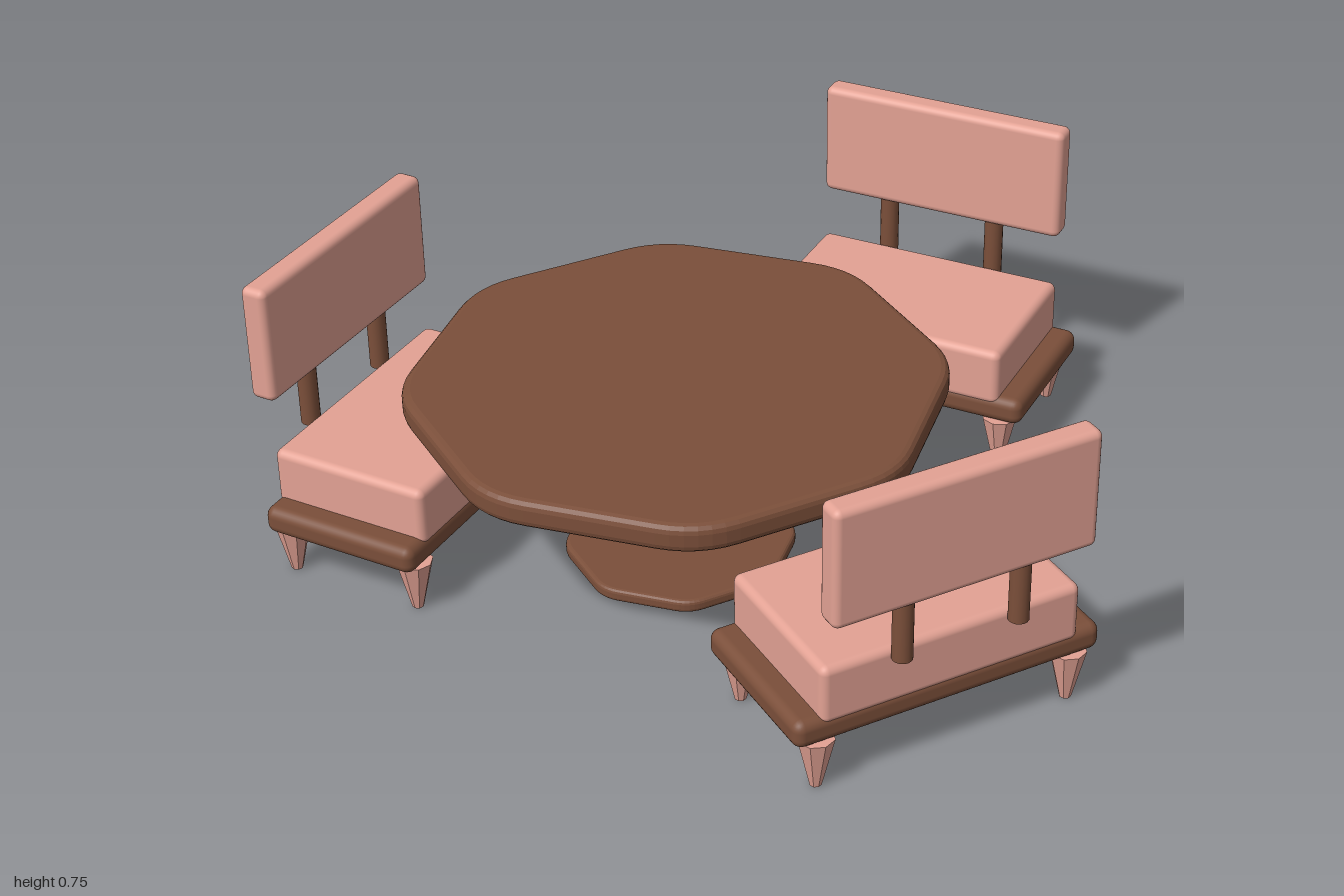
import * as THREE from 'three';
import { RoundedBoxGeometry } from 'three/addons/geometries/RoundedBoxGeometry.js';

const wood = new THREE.MeshStandardMaterial({ color: 0x7b4f3a });
const pink = new THREE.MeshStandardMaterial({ color: 0xe3a294 });
const pinkFlat = new THREE.MeshStandardMaterial({ color: 0xe3a294, flatShading: true });

function add(parent, name, geometry, material, x, y, z) {
  const mesh = new THREE.Mesh(geometry, material);
  mesh.name = name;
  mesh.position.set(x, y, z);
  parent.add(mesh);
  return mesh;
}

// Horizontal octagonal slab with rounded corners and bevelled rims, bottom at y = 0
function octagonSlab(radius, thickness, bevel, cut) {
  const corners = [];
  for (let i = 0; i < 8; i++) {
    const a = (i * Math.PI) / 4;
    corners.push(new THREE.Vector2(Math.cos(a) * radius, Math.sin(a) * radius));
  }
  const shape = new THREE.Shape();
  corners.forEach((c, i) => {
    const before = c.clone().lerp(corners[(i + 7) % 8], cut);
    const after = c.clone().lerp(corners[(i + 1) % 8], cut);
    if (i === 0) shape.moveTo(before.x, before.y);
    else shape.lineTo(before.x, before.y);
    shape.quadraticCurveTo(c.x, c.y, after.x, after.y);
  });
  shape.closePath();
  const geometry = new THREE.ExtrudeGeometry(shape, {
    depth: thickness - 2 * bevel,
    bevelThickness: bevel,
    bevelSize: bevel,
    bevelOffset: -bevel,
    bevelSegments: 3,
    curveSegments: 6,
  });
  geometry.translate(0, 0, bevel);
  geometry.rotateX(-Math.PI / 2);
  return geometry;
}

function createTable() {
  const table = new THREE.Group();
  table.name = 'table';
  add(table, 'tableTop', octagonSlab(0.66, 0.07, 0.02, 0.2), wood, 0, 0.42, 0);
  add(table, 'tablePole', new THREE.CylinderGeometry(0.042, 0.042, 0.42, 24), wood, 0, 0.23, 0);
  add(table, 'tableFoot', octagonSlab(0.285, 0.033, 0.01, 0.18), wood, 0, 0, 0);
  return table;
}

// Chair facing +z, its back towards -z
function createChair() {
  const chair = new THREE.Group();
  chair.name = 'chair';
  add(chair, 'seatFrame', new RoundedBoxGeometry(0.775, 0.07, 0.41, 3, 0.025), wood, 0, 0.163, 0);
  add(chair, 'seatCushion', new RoundedBoxGeometry(0.652, 0.15, 0.41, 3, 0.02), pink, 0, 0.25, 0);
  add(chair, 'backrest', new RoundedBoxGeometry(0.652, 0.295, 0.067, 3, 0.018), pink, 0, 0.603, -0.22);
  for (const side of [-1, 1]) {
    add(chair, 'backPost', new THREE.CylinderGeometry(0.024, 0.024, 0.18, 16), wood, side * 0.146 - 0.006, 0.395, -0.22);
    for (const end of [-1, 1]) {
      add(chair, 'leg', new THREE.CylinderGeometry(0.044, 0.014, 0.13, 8), pinkFlat, side * 0.322, 0.065, end * 0.172);
    }
  }
  return chair;
}

export function createModel() {
  const model = new THREE.Group();
  model.name = 'diningSet';

  const table = createTable();
  table.position.set(-0.13, 0, 0.25);
  model.add(table);

  // Chair placement: name, x, z, turn in degrees
  const places = [
    ['rearChair', -0.115, -0.635, 14.1],
    ['leftChair', 0.644, 0.382, -112],
    ['rightChair', -0.685, 0.545, 102],
  ];
  for (const [name, x, z, turn] of places) {
    const chair = createChair();
    chair.name = name;
    chair.position.set(x, 0, z);
    chair.rotation.y = THREE.MathUtils.degToRad(turn);
    model.add(chair);
  }
  return model;
}
